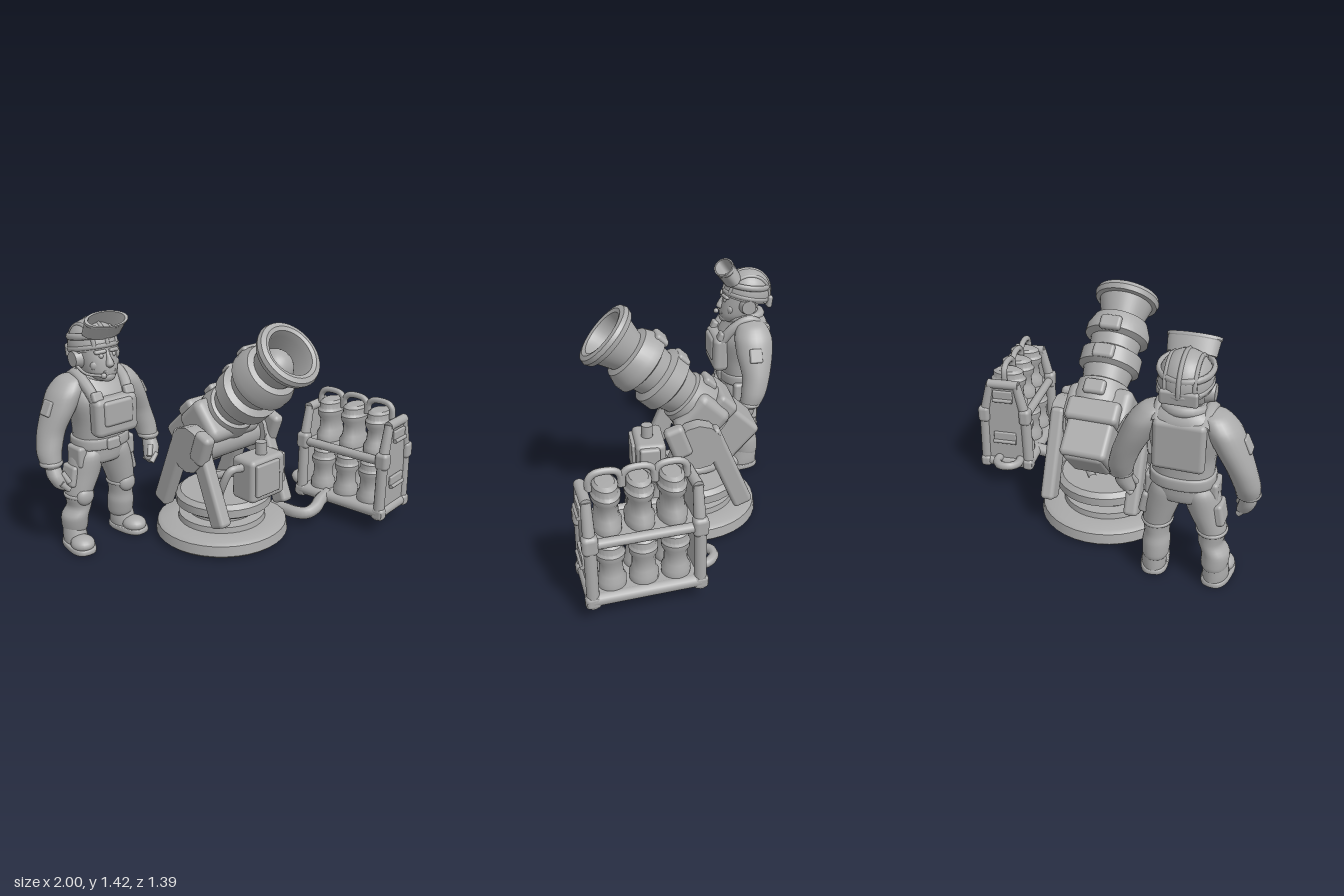
import * as THREE from 'three';
import { toCreasedNormals } from 'three/addons/utils/BufferGeometryUtils.js';
import { RoundedBoxGeometry } from 'three/addons/geometries/RoundedBoxGeometry.js';

const grey = new THREE.MeshStandardMaterial({ color: 0xaaaaaa });
grey.name = 'plain grey';
const V = (x, y, z) => new THREE.Vector3(x, y, z);

function add(parent, name, geo, pos = [0, 0, 0], rot = [0, 0, 0], scale = [1, 1, 1]) {
  const m = new THREE.Mesh(geo, grey);
  m.name = name;
  m.position.set(...pos);
  m.rotation.set(...rot);
  m.scale.set(...scale);
  parent.add(m);
  return m;
}
function group(parent, name, pos = [0, 0, 0]) {
  const g = new THREE.Group();
  g.name = name;
  g.position.set(...pos);
  parent.add(g);
  return g;
}
const box = (w, h, d, r = 0.015) => new RoundedBoxGeometry(w, h, d, 2, r);
const ball = (r) => new THREE.SphereGeometry(r, 20, 14);
const cyl = (r1, r2, h, n = 28) => new THREE.CylinderGeometry(r1, r2, h, n);
const lathe = (pts, n = 32) =>
  toCreasedNormals(new THREE.LatheGeometry(pts.map((p) => new THREE.Vector2(...p)), n), 0.6);
const tube = (pts, r) =>
  new THREE.TubeGeometry(new THREE.CatmullRomCurve3(pts.map((p) => V(...p))), 30, r, 8);

// Straight bar between two points
function bar(parent, name, a, b, r, r2 = r) {
  const p = V(...a), q = V(...b), d = q.clone().sub(p);
  const m = add(parent, name, cyl(r2, r, d.length(), 14), p.clone().add(q).multiplyScalar(0.5).toArray());
  m.quaternion.setFromUnitVectors(V(0, 1, 0), d.normalize());
}

// Smooth body from horizontal oval rings [x, y, z, rx, rz], bottom to top
function loft(rows, n = 24, square = 1) {
  const mid = new THREE.CatmullRomCurve3(rows.map((r) => V(r[0], r[1], r[2])), false, 'catmullrom', 0.4);
  const rad = new THREE.CatmullRomCurve3(rows.map((r) => V(r[3], r[4], 0)), false, 'catmullrom', 0.4);
  const steps = (rows.length - 1) * 4, pos = [], idx = [];
  const bend = (v) => Math.sign(v) * Math.abs(v) ** square;
  for (let j = 0; j <= steps; j++) {
    const c = mid.getPoint(j / steps), r = rad.getPoint(j / steps);
    for (let i = 0; i < n; i++) {
      const t = (i / n) * Math.PI * 2;
      pos.push(c.x + r.x * bend(Math.cos(t)), c.y, c.z + r.y * bend(Math.sin(t)));
      if (j === steps) continue;
      const a = j * n + i, b = j * n + (i + 1) % n;
      idx.push(a, a + n, b, b, a + n, b + n);
    }
  }
  const g = new THREE.BufferGeometry();
  g.setAttribute('position', new THREE.Float32BufferAttribute(pos, 3));
  g.setIndex(idx);
  g.computeVertexNormals();
  return g;
}

function buildCannon(root) {
  const g = group(root, 'cannon');
  // Stepped round base and turntable
  add(g, 'base', lathe([[0, 0.01], [0.4, 0.01], [0.415, 0.025], [0.405, 0.085], [0.38, 0.102], [0.275, 0.105],
    [0.27, 0.14], [0.21, 0.15], [0.21, 0.2], [0, 0.2]], 36), [0, 0, -0.06]);
  add(g, 'turntable', lathe([[0, 0.19], [0.27, 0.19], [0.3, 0.21], [0.3, 0.26], [0.27, 0.285], [0, 0.285]], 28), [0.015, 0, -0.06]);
  // Side brackets: pivot head with a front and a back leg
  for (const s of [-1, 1]) {
    const b = group(g, 'sideBracket', [0.02 + s * 0.262, 0, 0]);
    add(b, 'pivotHead', cyl(0.14, 0.14, 0.09, 12), [0, 0.61, -0.06], [0, 0, Math.PI / 2]);
    add(b, 'headBrace', box(0.08, 0.2, 0.12, 0.03), [s * 0.022, 0.65, 0.06], [0.35, 0, 0]);
    add(b, 'backLeg', box(0.085, 0.56, 0.12, 0.025), [0, 0.445, -0.23], [0.4, 0, 0]);
    add(b, 'frontLeg', box(0.085, 0.55, 0.115, 0.025), [0, 0.44, 0.095], [-0.4, 0, 0]);
  }
  add(g, 'pivotAxle', cyl(0.1, 0.1, 0.5), [0.02, 0.61, -0.06], [0, 0, Math.PI / 2]);

  // Barrel with raised collars and an open muzzle
  const b = group(g, 'barrel', [0.045, 1.245, 0.453]);
  b.rotation.x = 0.829;
  add(b, 'barrelTube', lathe([[0, -0.9], [0.15, -0.9], [0.16, -0.8], [0.17, -0.71], [0.155, -0.62], [0.135, -0.61],
    [0.15, -0.53], [0.185, -0.51], [0.185, -0.42], [0.145, -0.4], [0.155, -0.33], [0.195, -0.31],
    [0.195, -0.26], [0.165, -0.19], [0.13, -0.18], [0.165, -0.065], [0.192, -0.06], [0.202, -0.03],
    [0.193, -0.005], [0.165, 0.003], [0.142, -0.005], [0.132, -0.05], [0.125, -0.2], [0, -0.2]], 36));
  add(b, 'loadedRound', ball(0.11), [0, -0.17, 0]);
  for (const [y, r] of [[-0.285, 0.183], [-0.465, 0.172], [-0.69, 0.163]])
    add(b, 'collarLug', box(0.13, 0.09, 0.05, 0.02), [0, y, -r]);
  add(b, 'breechHousing', box(0.4, 0.24, 0.28, 0.05), [-0.02, -0.77, 0.02]);
  add(b, 'breechStep', box(0.32, 0.14, 0.33, 0.03), [-0.02, -0.83, -0.01]);
  add(b, 'breechBlock', box(0.28, 0.3, 0.32, 0.03), [-0.02, -0.96, 0.01]);
  add(b, 'breechDoor', box(0.24, 0.12, 0.26, 0.03), [-0.02, -1.065, 0]);

  // Control box under the barrel, with knob and cables
  add(g, 'controlBox', box(0.28, 0.27, 0.18, 0.03), [0.06, 0.44, 0.2]);
  add(g, 'controlPanel', box(0.19, 0.2, 0.03, 0.01), [0.04, 0.45, 0.295]);
  add(g, 'controlLatch', box(0.05, 0.2, 0.12), [0.2, 0.46, 0.21]);
  bar(g, 'controlKnob', [0.07, 0.56, 0.21], [0.07, 0.65, 0.21], 0.035);
  add(g, 'cable', tube([[-0.08, 0.52, 0.2], [-0.16, 0.52, 0.19], [-0.19, 0.42, 0.15], [-0.16, 0.28, 0.08]], 0.025));
  add(g, 'cable', tube([[0.1, 0.36, 0.12], [0.12, 0.33, -0.1], [0.05, 0.3, -0.2]], 0.025));
  add(g, 'supplyHose', tube([[0.37, 0.07, 0.03], [0.385, 0.075, 0.13], [0.395, 0.078, 0.22], [0.43, 0.083, 0.275], [0.5, 0.1, 0.285],
    [0.57, 0.125, 0.265], [0.66, 0.14, 0.25]], 0.041));
}

function buildRack(root) {
  const g = group(root, 'ammunitionRack', [0.785, 0, 0.345]);
  g.rotation.y = 0.12;
  const L = 0.29, low = 0.145, mid = 0.137, top = 0.085;
  // Bottom tray and long rails
  add(g, 'tray', box(0.3, 0.06, 0.58), [0, 0.14, 0]);
  add(g, 'middleShelf', box(0.27, 0.03, 0.58), [0, 0.47, 0]);
  const panel = new THREE.Shape([[-0.12, 0.14], [0.12, 0.14], [0.12, 0.48], [0.075, 0.72], [-0.075, 0.72], [-0.12, 0.48]]
    .map((p) => new THREE.Vector2(...p)));
  for (const s of [-1, 1]) {
    bar(g, 'bottomRail', [s * low, 0.135, -L], [s * low, 0.135, L], 0.036);
    bar(g, 'middleRail', [s * mid, 0.475, -L], [s * mid, 0.475, L], 0.028);
    // End frame with panel and grips
    const e = group(g, 'endFrame', [0, 0, s * L]);
    add(e, 'endPanel', new THREE.ExtrudeGeometry(panel, { depth: 0.03, bevelEnabled: false }), [0, 0, -0.015]);
    bar(e, 'crossRod', [-0.175, 0.13, 0], [0.175, 0.13, 0], 0.036);
    bar(e, 'topRod', [-0.1, 0.695, 0], [0.1, 0.695, 0], 0.03);
    for (const t of [-1, 1]) {
      bar(e, 'lowerPost', [t * low, 0.13, 0], [t * mid, 0.48, 0], 0.034);
      bar(e, 'upperPost', [t * mid, 0.48, 0], [t * top, 0.7, 0], 0.034, 0.028);
      add(e, 'cornerKnob', box(0.075, 0.11, 0.085, 0.025), [t * mid, 0.48, 0]);
      add(e, 'cornerKnob', box(0.07, 0.08, 0.085, 0.025), [t * low, 0.13, 0]);
    }
    for (const [y, w] of [[0.63, 0.13], [0.33, 0.15]]) {
      add(e, 'gripFrame', box(w, 0.06, 0.02, 0.008), [0, y, s * 0.025]);
      bar(e, 'grip', [-w / 2, y - 0.035, s * 0.035], [w / 2, y - 0.035, s * 0.035], 0.013);
    }
  }
  // Shells in two layers: flanged foot, waisted body, domed cap
  const shell = lathe([[0, 0], [0.078, 0], [0.08, 0.05], [0.065, 0.08], [0.062, 0.15], [0.076, 0.18],
    [0.078, 0.21], [0.068, 0.225], [0.066, 0.26], [0.05, 0.275], [0, 0.28]], 20);
  for (const z of [-0.175, 0, 0.175]) {
    add(g, 'upperShell', shell, [0, 0.48, z], [0, 0, 0], [1.5, 1, 1]);
    for (const x of [-0.07, 0.07]) add(g, 'lowerShell', shell, [x, 0.16, z]);
    add(g, 'topHoop', tube([[0, 0.71, z - 0.085], [0, 0.775, z - 0.08], [0, 0.803, z - 0.05], [0, 0.803, z + 0.05],
      [0, 0.775, z + 0.08], [0, 0.71, z + 0.085]], 0.02));
  }
  // Carrying loop on the rear end
  add(g, 'carryLoop', tube([[-0.09, 0.16, -0.29], [-0.09, 0.16, -0.36], [-0.05, 0.165, -0.41], [0.01, 0.165, -0.41],
    [0.05, 0.16, -0.36], [0.05, 0.16, -0.29]], 0.028));
}

function buildCrewman(root) {
  const g = group(root, 'crewman', [-0.58, 0, -0.53]);
  // Torso, belt and vest
  add(g, 'torso', loft([[0, 0.5, 0.02, 0.02, 0.02], [-0.01, 0.53, 0.02, 0.15, 0.11], [0, 0.64, 0.02, 0.165, 0.125],
    [0, 0.78, 0.03, 0.17, 0.14], [0, 0.92, 0.02, 0.2, 0.16], [0, 1.02, -0.01, 0.19, 0.13],
    [0, 1.08, -0.01, 0.11, 0.09], [0, 1.1, -0.01, 0.01, 0.01]], 28, 0.85));
  add(g, 'belt', loft([[0, 0.615, 0.02, 0.16, 0.12], [0, 0.625, 0.02, 0.178, 0.14], [0, 0.68, 0.02, 0.178, 0.14], [0, 0.69, 0.02, 0.16, 0.12]], 28, 0.85));
  add(g, 'buckle', box(0.09, 0.07, 0.03), [0, 0.65, 0.16]);
  add(g, 'chestPlate', box(0.29, 0.23, 0.1, 0.035), [0, 0.835, 0.18]);
  add(g, 'chestPocket', box(0.2, 0.15, 0.05, 0.02), [0, 0.86, 0.218]);
  add(g, 'backPlate', box(0.28, 0.28, 0.06, 0.03), [0, 0.89, -0.115]);
  add(g, 'collar', new THREE.TorusGeometry(0.1, 0.03, 8, 24), [0, 1.06, 0], [Math.PI / 2 + 0.15, 0, 0]);

  for (const s of [-1, 1]) {
    add(g, 'shoulderStrap', tube([[s * 0.11, 0.92, 0.18], [s * 0.13, 1.02, 0.1], [s * 0.13, 1.065, 0], [s * 0.12, 1.0, -0.11]], 0.034));
    add(g, 'strapClip', box(0.07, 0.06, 0.04), [s * 0.11, 0.96, 0.18], [-0.4, 0, 0]);
    add(g, 'sidePouch', box(0.06, 0.13, 0.14, 0.02), [s * 0.17, 0.58, 0.03]);
    // Arm, cuff and hand
    add(g, 'arm', loft([[s * 0.35, 0.55, 0.04, 0.02, 0.02], [s * 0.35, 0.57, 0.035, 0.056, 0.06], [s * 0.342, 0.65, 0.01, 0.072, 0.078],
      [s * 0.307, 0.76, -0.01, 0.08, 0.09], [s * 0.25, 0.88, -0.01, 0.092, 0.115], [s * 0.2, 0.98, -0.01, 0.096, 0.12],
      [s * 0.155, 1.05, -0.01, 0.075, 0.085], [s * 0.14, 1.075, -0.01, 0.01, 0.01]]));
    add(g, 'cuff', new THREE.TorusGeometry(0.052, 0.017, 8, 20), [s * 0.35, 0.585, 0.035], [Math.PI / 2, 0, 0]);
    add(g, 'sleevePatch', box(0.03, 0.09, 0.08, 0.01), [s * 0.328, 0.9, 0], [0, 0, s * 0.45]);
    add(g, 'hand', loft([[s * 0.31, 0.42, 0.09, 0.01, 0.02], [s * 0.325, 0.45, 0.085, 0.04, 0.045], [s * 0.345, 0.51, 0.065, 0.048, 0.055],
      [s * 0.35, 0.58, 0.04, 0.042, 0.045]], 16));
    bar(g, 'thumb', [s * 0.32, 0.53, 0.09], [s * 0.29, 0.47, 0.12], 0.02, 0.017);
    for (let i = 0; i < 4; i++)
      bar(g, 'finger', [s * 0.345, 0.48, 0.05 + i * 0.023], [s * 0.3, 0.43, 0.06 + i * 0.022], 0.017);
    // Leg, knee pad, pocket and boot
    const foot = s * 0.168 - 0.035, knee = s * 0.153 - 0.02;
    add(g, 'leg', loft([[foot, 0.09, 0, 0.05, 0.06], [foot, 0.12, 0, 0.073, 0.085], [foot, 0.2, 0.01, 0.078, 0.092],
      [knee, 0.26, 0.015, 0.07, 0.085], [knee, 0.34, 0.02, 0.08, 0.092], [s * 0.12 - 0.01, 0.46, 0.02, 0.097, 0.105],
      [s * 0.09 - 0.01, 0.58, 0.02, 0.097, 0.115], [s * 0.08, 0.65, 0.02, 0.06, 0.08]]));
    add(g, 'kneePad', ball(0.06), [knee, 0.335, 0.09], [0, 0, 0], [0.95, 0.95, 0.6]);
    add(g, 'kneeBand', new THREE.TorusGeometry(0.076, 0.013, 8, 24), [knee, 0.335, 0.02], [Math.PI / 2, 0, 0], [1, 1.12, 1]);
    add(g, 'thighPocket', box(0.06, 0.13, 0.13, 0.02), [s * 0.2 - 0.01, 0.46, 0.01], [0, 0, s * 0.2]);
    const b = group(g, 'boot', [s * 0.175 - 0.035, 0, 0]);
    b.rotation.y = s * 0.15;
    add(b, 'sole', loft([[0, 0.002, 0.06, 0.01, 0.02], [0, 0.003, 0.06, 0.075, 0.135], [0, 0.035, 0.06, 0.078, 0.14], [0, 0.037, 0.06, 0.06, 0.12]], 24, 0.75));
    add(b, 'toe', ball(0.075), [0, 0.052, 0.115], [0, 0, 0], [0.95, 0.65, 1.05]);
    add(b, 'upper', loft([[0, 0.02, 0.02, 0.068, 0.1], [0, 0.07, 0.01, 0.07, 0.09], [0, 0.14, 0, 0.065, 0.078]]));
  }

  // Head with face details
  const h = group(g, 'head');
  add(h, 'face', loft([[0, 1.02, 0.06, 0.02, 0.02], [0, 1.035, 0.08, 0.06, 0.07], [0, 1.08, 0.06, 0.095, 0.11],
    [0, 1.16, 0.03, 0.11, 0.13], [0, 1.25, 0, 0.115, 0.135], [0, 1.3, 0, 0.1, 0.12]], 24, 0.9));
  bar(h, 'neck', [0, 0.98, -0.02], [0, 1.12, 0], 0.08);
  add(h, 'chin', ball(0.04), [0, 1.055, 0.14], [0, 0, 0], [1.2, 0.8, 0.8]);
  add(h, 'nose', loft([[0, 1.11, 0.16, 0.01, 0.01], [0, 1.13, 0.165, 0.026, 0.028], [0, 1.17, 0.155, 0.014, 0.02], [0, 1.21, 0.13, 0.012, 0.015]], 12));
  add(h, 'mouth', box(0.085, 0.012, 0.02, 0.005), [0, 1.09, 0.158]);
  for (const s of [-1, 1]) {
    add(h, 'brow', box(0.07, 0.022, 0.035, 0.01), [s * 0.045, 1.205, 0.14], [0, s * 0.25, -s * 0.08]);
    add(h, 'cheek', ball(0.035), [s * 0.055, 1.125, 0.115], [0, 0, 0], [1.2, 1, 0.7]);
    add(h, 'eye', ball(0.014), [s * 0.042, 1.18, 0.143]);
    add(h, 'earCup', cyl(0.045, 0.058, 0.05, 20), [s * 0.125, 1.155, 0.01], [0, 0, -s * Math.PI / 2]);
  }
  add(h, 'microphoneBoom', tube([[-0.14, 1.13, 0.02], [-0.12, 1.085, 0.1], [-0.06, 1.075, 0.18]], 0.009));
  add(h, 'microphone', ball(0.017), [-0.055, 1.075, 0.18]);
  // Padded helmet with ridges, rim and raised goggles
  const m = group(g, 'helmet', [0.005, 1.213, -0.005]);
  m.rotation.x = -0.2;
  add(m, 'helmetShell', new THREE.SphereGeometry(0.15, 28, 12, 0, Math.PI * 2, 0, Math.PI * 0.56), [0, 0, 0], [0, 0, 0], [0.94, 1.06, 1.04]);
  add(m, 'helmetRim', new THREE.TorusGeometry(0.138, 0.017, 8, 28), [0, -0.005, 0], [Math.PI / 2, 0, 0], [0.95, 1.05, 1]);
  for (const x of [-0.075, 0, 0.075])
    add(m, 'helmetRidge', new THREE.TorusGeometry(Math.sqrt(0.0235 - x * x * 1.2), 0.013, 6, 24, Math.PI), [x, 0, 0], [0, Math.PI / 2, 0]);
  add(m, 'neckGuard', box(0.2, 0.08, 0.035), [0, -0.015, -0.14], [0.1, 0, 0]);
  add(h, 'goggles', lathe([[0.13, -0.05], [0.138, 0.03], [0.143, 0.035], [0.143, 0.05], [0.122, 0.05], [0.115, -0.05], [0.13, -0.05]], 28),
    [0.005, 1.347, 0.122], [0.6, 0, 0], [1, 1, 0.45]);
  add(h, 'goggleStrap', new THREE.TorusGeometry(0.138, 0.014, 8, 28), [0.005, 1.28, 0], [Math.PI / 2 - 0.15, 0, 0], [1, 1.05, 1.4]);
}

export function createModel() {
  const root = new THREE.Group();
  root.name = 'cannonCrew';
  buildCannon(root);
  buildRack(root);
  buildCrewman(root);
  return root;
}
